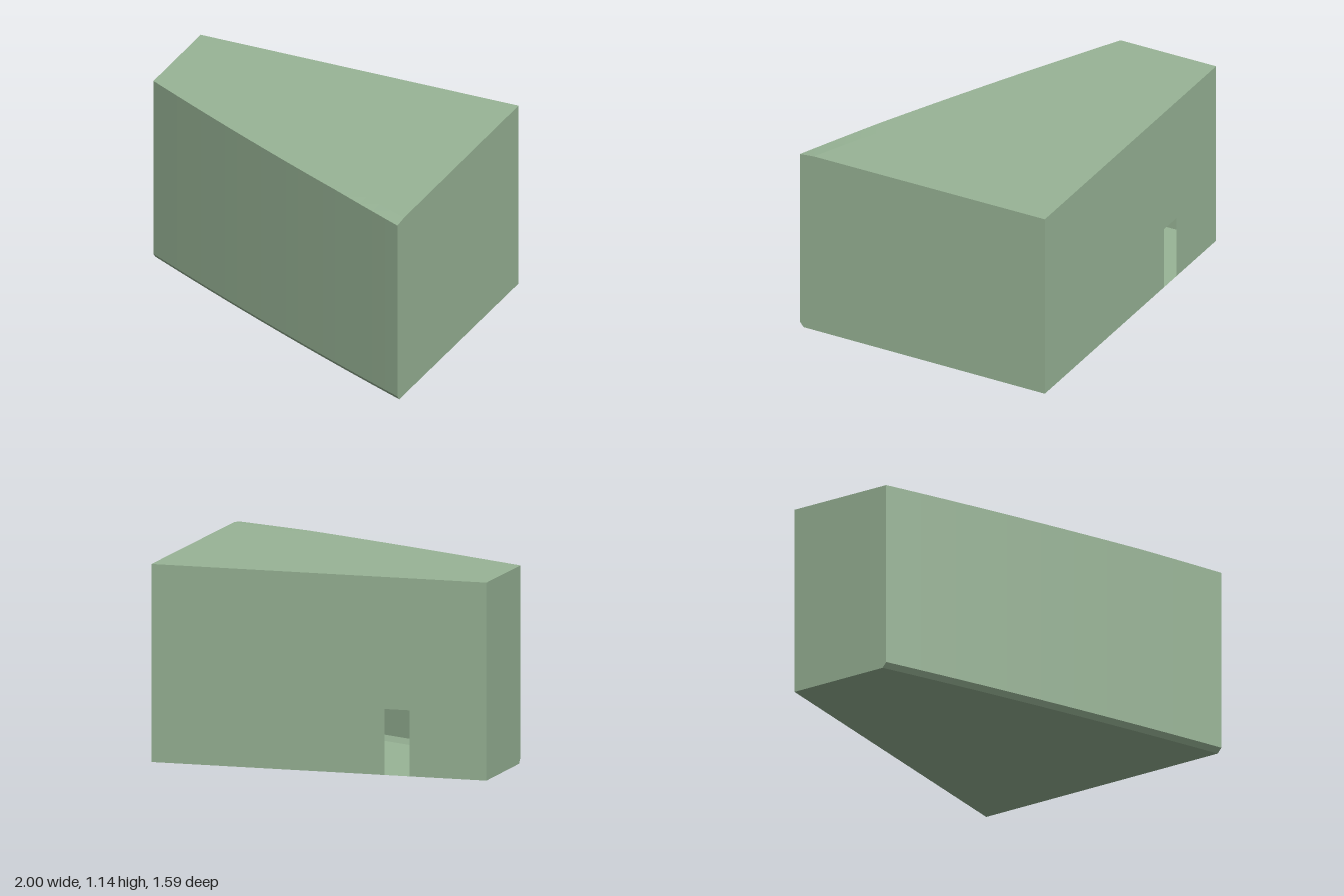
import * as THREE from 'three';

const BACK = -0.8, TOP = 1.14, COLUMNS = 20;

// Plan curve of the slanted, slightly bowed front
const frontZ = (x) => 0.328 + 0.485 * x - 0.023 * x * x;

// Roof falls gently forward, with a small droop at the long corner
const roofY = (z) => TOP - 0.004 * (z - BACK);

// Cross-section at x as [z, y]: along the floor, up the front, back over the roof
function section(x) {
  const z = frontZ(x);
  const droop = 0.009 * Math.max(0, (x - 0.5) / 0.5);
  return [
    [BACK, 0],
    [z - 0.025, 0],
    [z, 0.03],
    [z, roofY(z) - droop],
    [z - 0.09, roofY(z - 0.09)],
    [BACK, TOP],
  ];
}

// Strip of surface between section points first..last, swept across the width
function strip(first, last) {
  const positions = [];
  for (let i = 0; i < COLUMNS; i++) {
    const x0 = -1 + (2 * i) / COLUMNS, x1 = -1 + (2 * (i + 1)) / COLUMNS;
    const s0 = section(x0), s1 = section(x1);
    for (let k = first; k < last; k++) {
      const point = (x, [z, y]) => [x, y, z];
      const a = point(x0, s0[k]), b = point(x1, s1[k]);
      const c = point(x1, s1[k + 1]), d = point(x0, s0[k + 1]);
      positions.push(...a, ...b, ...c, ...a, ...c, ...d);
    }
  }
  const geometry = new THREE.BufferGeometry();
  geometry.setAttribute('position', new THREE.Float32BufferAttribute(positions, 3));
  geometry.computeVertexNormals();
  return geometry;
}

// Flat outline of points [x, y]
const flat = (points) =>
  new THREE.ShapeGeometry(new THREE.Shape(points.map(([x, y]) => new THREE.Vector2(x, y))));

export function createModel() {
  const group = new THREE.Group();
  group.name = 'building';
  const material = new THREE.MeshStandardMaterial({ color: 0x98b496, side: THREE.DoubleSide });

  const add = (name, geometry) => {
    const mesh = new THREE.Mesh(geometry, material);
    mesh.name = name;
    group.add(mesh);
    return mesh;
  };

  // Swept shell
  add('floor', strip(0, 1));
  add('frontFootBevel', strip(1, 2));
  add('frontWall', strip(2, 3));
  add('roof', strip(3, 5));

  // Side walls closing the shell
  for (const side of [-1, 1]) {
    const wall = flat(section(side).map(([z, y]) => [-side * z, y]));
    wall.rotateY((side * Math.PI) / 2);
    add(side > 0 ? 'leftWall' : 'rightWall', wall).position.x = side;
  }

  // Back wall with an open doorway into the hollow interior
  const back = flat([
    [-1, 0], [0.39, 0], [0.39, 0.38], [0.54, 0.38], [0.54, 0], [1, 0], [1, TOP], [-1, TOP],
  ]);
  back.rotateY(Math.PI);
  add('backWallWithDoorway', back).position.z = BACK;

  return group;
}
